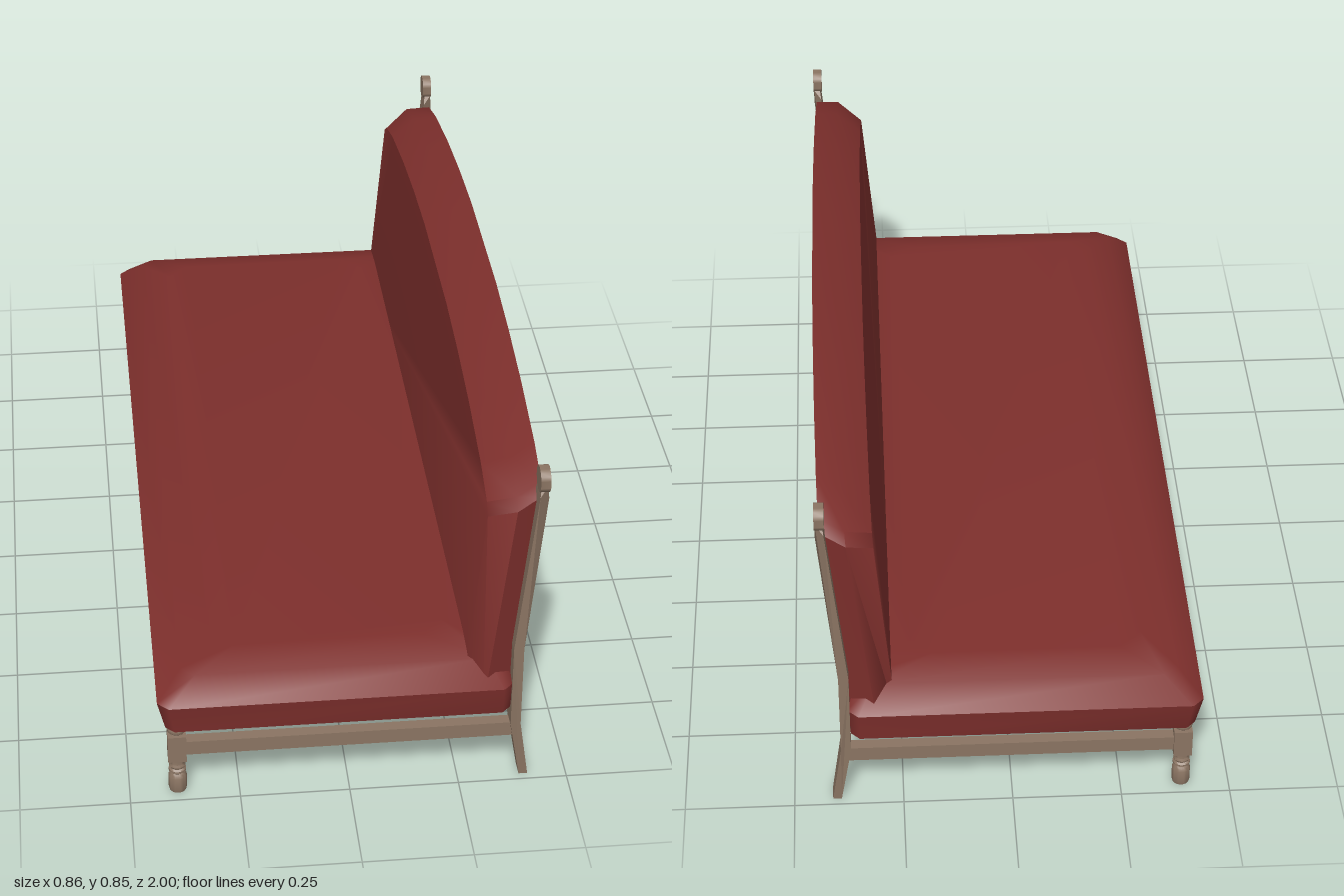
import * as THREE from 'three';
import { toCreasedNormals } from 'three/addons/utils/BufferGeometryUtils.js';

const fabric = new THREE.MeshStandardMaterial({ color: 0x7d2f2c });
const wood = new THREE.MeshStandardMaterial({ color: 0x8a7462 });

function add(parent, name, geometry, material, x = 0, y = 0, z = 0) {
  const mesh = new THREE.Mesh(geometry, material);
  mesh.name = name;
  mesh.position.set(x, y, z);
  parent.add(mesh);
  return mesh;
}

// Skin a stack of equal-length convex loops and close both ends
function loft(loops, crease) {
  const n = loops[0].length, index = [];
  loops.slice(1).forEach((_, k) => {
    for (let i = 0; i < n; i++) {
      const a = k * n + i, b = k * n + (i + 1) % n;
      index.push(a, b, b + n, a, b + n, a + n);
    }
  });
  const last = (loops.length - 1) * n;
  for (let i = 1; i < n - 1; i++) {
    index.push(0, i + 1, i, last, last + i, last + i + 1);
  }
  const g = new THREE.BufferGeometry();
  g.setAttribute('position', new THREE.Float32BufferAttribute(loops.flat(2), 3));
  g.setIndex(index);
  return toCreasedNormals(g, crease);
}

// Horizontal rectangle with cut corners, counter-clockwise from above
function seatLoop([y, x0, x1, w, c]) {
  return [
    [x0 + c, y, w], [x1 - c, y, w], [x1, y, w - c], [x1, y, c - w],
    [x1 - c, y, -w], [x0 + c, y, -w], [x0, y, c - w], [x0, y, w - c],
  ];
}

// Arched outline on a leaning plane running from (xa, ya) to (xb, yb)
const ARCH = [[1, 0.108], [0.97, 0.088], [0.85, 0.06], [0.63, 0.03], [0.42, 0.011], [0.21, 0]];
function backLoop({ w, top, from: [xa, ya], to: [xb, yb] }) {
  const half = ARCH.map(([t, drop]) => [t * w, top - drop]);
  const outline = [
    [-w, 0.2], [w, 0.2], ...half,
    ...half.slice().reverse().map(([z, y]) => [-z, y]),
  ];
  return outline.map(([z, y]) => [xa + (xb - xa) * (y - ya) / (yb - ya), y, z]);
}

// Swept rear post with narrowed foot
function postGeometry() {
  const shape = new THREE.Shape([
    [0.392, 0], [0.412, 0], [0.39, 0.15], [0.39, 0.36], [0.428, 0.765], [0.427, 0.785],
    [0.412, 0.785], [0.409, 0.765], [0.367, 0.36], [0.367, 0.15],
  ].map(p => new THREE.Vector2(...p)));
  const g = new THREE.ExtrudeGeometry(shape, { depth: 0.054, bevelEnabled: false });
  g.translate(0, 0, -0.027);
  const p = g.attributes.position;
  for (let i = 0; i < p.count; i++) {
    if (p.getY(i) < 0.1) p.setZ(i, p.getZ(i) * 0.78);
    if (p.getY(i) > 0.77) p.setZ(i, p.getZ(i) * 0.5);
  }
  g.computeVertexNormals();
  return g;
}

function turned(points) {
  const g = new THREE.LatheGeometry(points.map(p => new THREE.Vector2(...p)), 20);
  return toCreasedNormals(g, 0.7);
}

export function createModel() {
  const model = new THREE.Group();
  model.name = 'settee';

  // Upholstery: [height, front x, rear x, half length, corner cut]
  add(model, 'seatCushion', loft([
    [0.19, -0.415, 0.366, 0.993, 0.02],
    [0.26, -0.432, 0.373, 1.0, 0.025],
    [0.313, -0.375, 0.345, 0.95, 0.03],
    [0.332, -0.30, 0.225, 0.87, 0.05],
  ].map(seatLoop), 0.85), fabric);

  // Backrest from its flat rear to its padded front
  add(model, 'backrest', loft([
    { w: 0.95, top: 0.852, from: [0.366, 0.19], to: [0.43, 0.852] },
    { w: 0.98, top: 0.835, from: [0.31, 0.265], to: [0.375, 0.835] },
    { w: 0.94, top: 0.80, from: [0.27, 0.31], to: [0.313, 0.80] },
  ].map(backLoop), 0.85), fabric);

  const post = postGeometry();
  const disc = toCreasedNormals(new THREE.CylinderGeometry(0.03, 0.03, 0.022, 20), 0.7);
  disc.rotateZ(Math.PI / 2);
  const foot = turned([
    [0, 0.004], [0.019, 0.004], [0.021, 0.012], [0.021, 0.044], [0.018, 0.05], [0.015, 0.054],
    [0.02, 0.059], [0.02, 0.064], [0.016, 0.068], [0.019, 0.074], [0.016, 0.08], [0.017, 0.096],
  ]);
  const collar = turned([
    [0.017, 0.16], [0.015, 0.166], [0.021, 0.172], [0.022, 0.18], [0.018, 0.188], [0.018, 0.195], [0, 0.195],
  ]);
  const block = new THREE.BoxGeometry(0.042, 0.07, 0.042);
  const stretcher = new THREE.BoxGeometry(0.76, 0.036, 0.028);

  // Matching wooden frame at each end
  for (const side of [1, -1]) {
    const frame = new THREE.Group();
    frame.name = side > 0 ? 'leftFrame' : 'rightFrame';
    frame.position.z = side * 0.96;
    model.add(frame);
    add(frame, 'rearPost', post, wood);
    add(frame, 'postFinial', disc, wood, 0.418, 0.804, side * 0.008);
    add(frame, 'frontLegFoot', foot, wood, -0.39);
    add(frame, 'frontLegBlock', block, wood, -0.39, 0.129, 0);
    add(frame, 'frontLegCollar', collar, wood, -0.39);
    add(frame, 'stretcher', stretcher, wood, -0.005, 0.127, 0);
  }
  return model;
}
